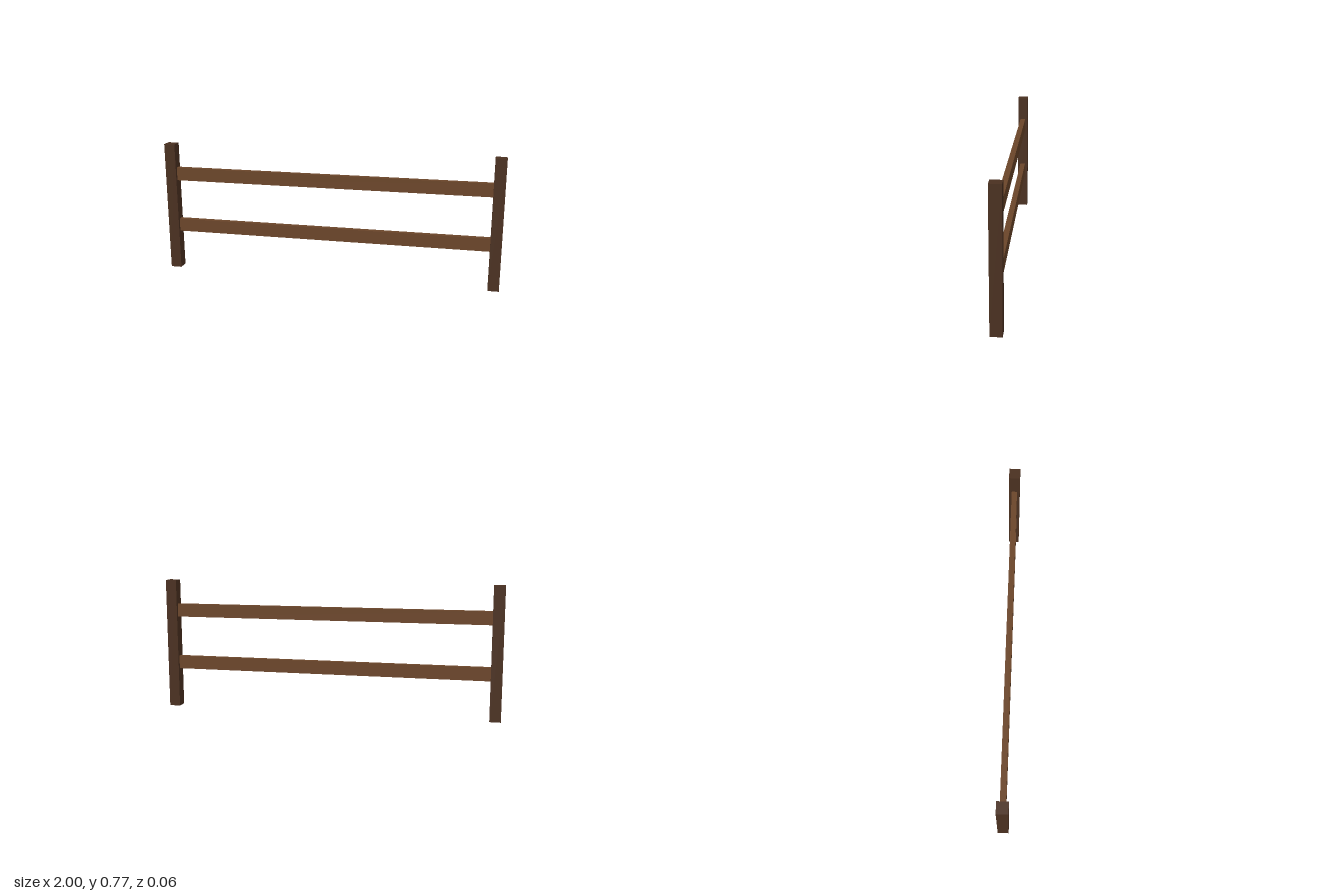
import * as THREE from 'three';

export function createModel() {
  const fence = new THREE.Group();
  fence.name = 'fence';

  const postWood = new THREE.MeshStandardMaterial({ color: 0x4a3020 });
  postWood.name = 'dark brown wood';
  const railWood = new THREE.MeshStandardMaterial({ color: 0x6b4529 });
  railWood.name = 'brown wood';

  const postSize = 0.0645;
  const postHeight = 0.774;
  const postX = 1 - postSize / 2;

  function addBeam(name, size, x, y, material) {
    const beam = new THREE.Mesh(new THREE.BoxGeometry(...size), material);
    beam.name = name;
    beam.position.set(x, y, 0);
    fence.add(beam);
  }

  // Square end posts
  for (const [name, side] of [['leftPost', 1], ['rightPost', -1]]) {
    addBeam(name, [postSize, postHeight, postSize], side * postX, postHeight / 2, postWood);
  }

  // Horizontal rails, let into the posts
  for (const [name, y] of [['lowerRail', 0.271], ['upperRail', 0.591]]) {
    addBeam(name, [2 * postX, 0.077, 0.032], 0, y, railWood);
  }

  return fence;
}
